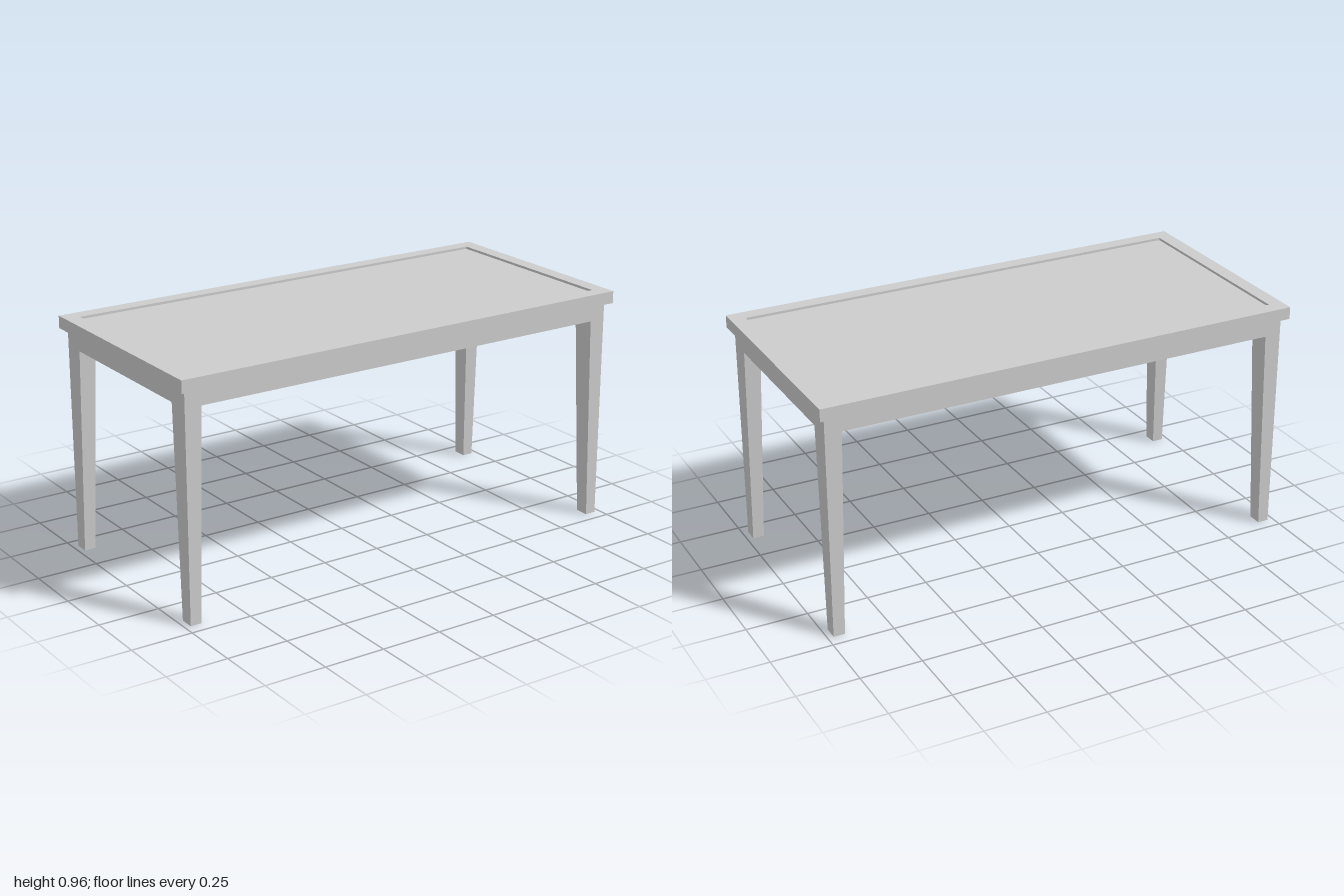
import * as THREE from 'three';

const material = new THREE.MeshStandardMaterial({ color: 0xcccccc, flatShading: true });
const openMaterial = new THREE.MeshStandardMaterial({ color: 0xcccccc, flatShading: true, side: THREE.DoubleSide });

const TOP = 0.963, RIM_BOTTOM = 0.913, APRON_BOTTOM = 0.845;
const HALF_X = 1, HALF_Z = 0.474;   // table top
const LEG_X = 0.976, LEG_Z = 0.449; // outer faces of apron and legs
const RIM = 0.06, RECESS = 0.01;

function rectangle(path, x, z) {
  path.moveTo(-x, -z);
  path.lineTo(x, -z);
  path.lineTo(x, z);
  path.lineTo(-x, z);
  path.closePath();
  return path;
}

function box(name, width, bottom, top, depth) {
  const mesh = new THREE.Mesh(new THREE.BoxGeometry(width, top - bottom, depth), material);
  mesh.position.y = (top + bottom) / 2;
  mesh.name = name;
  return mesh;
}

// Leg with straight outer faces and inner faces tapering to an open foot
function legGeometry(sx, sz) {
  const geometry = new THREE.BoxGeometry(1, 1, 1);
  const p = geometry.attributes.position;
  for (let i = 0; i < p.count; i++) {
    const upper = p.getY(i) > 0;
    const outerX = p.getX(i) * sx > 0, outerZ = p.getZ(i) * sz > 0;
    const x = outerX ? LEG_X : upper ? 0.908 : 0.93;
    const z = outerZ ? LEG_Z : upper ? 0.357 : 0.391;
    p.setXYZ(i, sx * x, upper ? APRON_BOTTOM : 0, sz * z);
  }
  // Keep only the four side faces (drop the top and bottom groups)
  const index = Array.from(geometry.index.array);
  geometry.setIndex([...index.slice(0, 12), ...index.slice(24)]);
  geometry.clearGroups();
  geometry.computeVertexNormals();
  return geometry;
}

export function createModel() {
  const table = new THREE.Group();
  table.name = 'table';

  // Raised rim around the table top
  const shape = rectangle(new THREE.Shape(), HALF_X, HALF_Z);
  shape.holes.push(rectangle(new THREE.Path(), HALF_X - RIM, HALF_Z - RIM));
  const rimGeometry = new THREE.ExtrudeGeometry(shape, { depth: TOP - RIM_BOTTOM, bevelEnabled: false });
  rimGeometry.rotateX(-Math.PI / 2).translate(0, RIM_BOTTOM, 0);
  const rim = new THREE.Mesh(rimGeometry, material);
  rim.name = 'tableTopRim';
  table.add(rim);

  // Slightly sunken panel and the solid apron below
  table.add(box('tableTopPanel', 2 * (HALF_X - RIM), RIM_BOTTOM, TOP - RECESS, 2 * (HALF_Z - RIM)));
  table.add(box('apron', 2 * LEG_X, APRON_BOTTOM, RIM_BOTTOM, 2 * LEG_Z));

  // Four legs
  for (const sx of [1, -1]) {
    for (const sz of [1, -1]) {
      const leg = new THREE.Mesh(legGeometry(sx, sz), openMaterial);
      leg.name = (sz > 0 ? 'front' : 'back') + (sx > 0 ? 'Left' : 'Right') + 'Leg';
      table.add(leg);
    }
  }
  return table;
}
